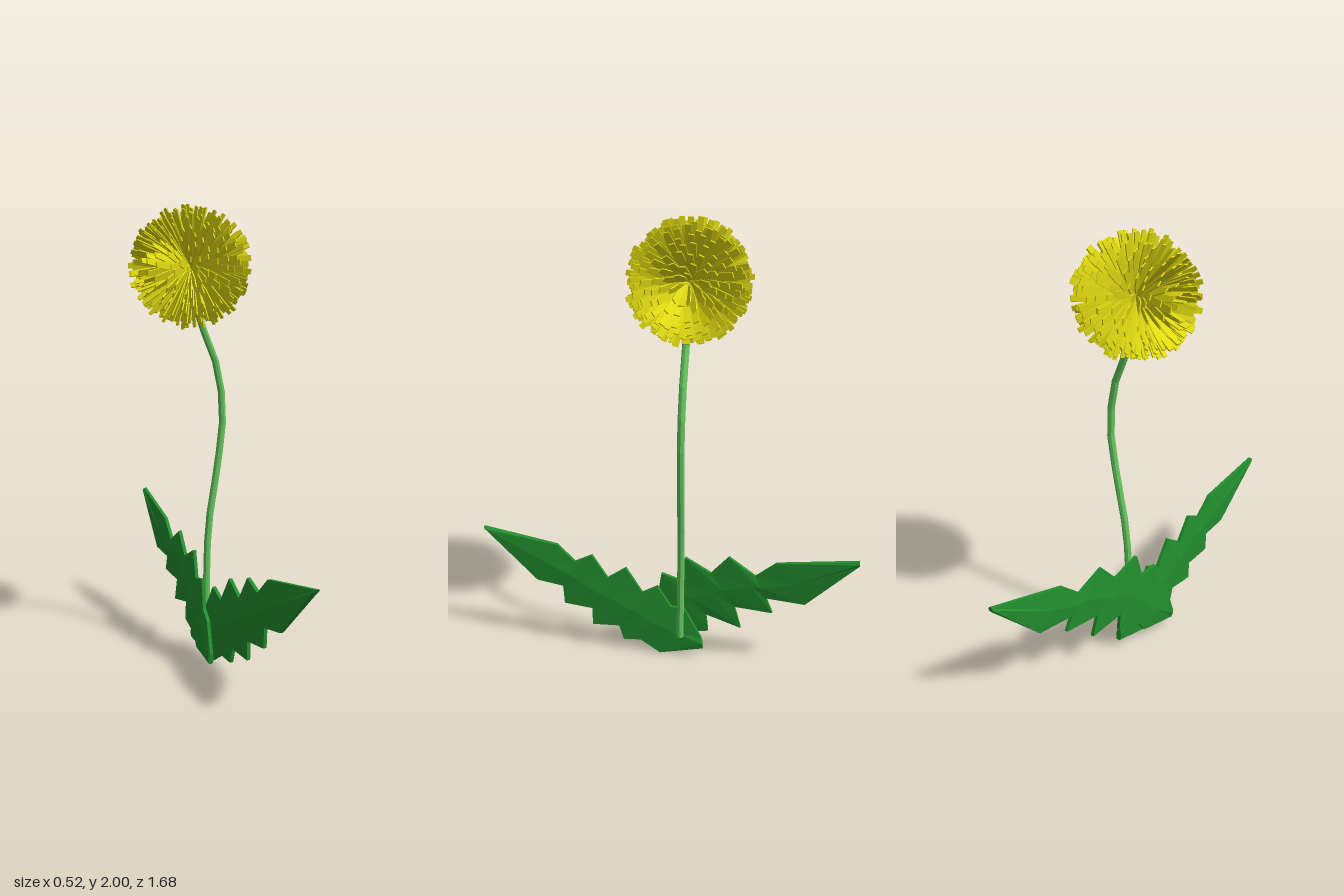
import * as THREE from 'three';
import { mergeGeometries } from 'three/addons/utils/BufferGeometryUtils.js';

const V = (x, y, z) => new THREE.Vector3(x, y, z);
const material = (color) => new THREE.MeshStandardMaterial({ color, flatShading: true, side: THREE.DoubleSide });

// small seeded generator, returns -1..1
function makeRandom(seed) {
  return () => {
    seed = (seed * 16807) % 2147483647;
    return (seed / 2147483647) * 2 - 1;
  };
}

function mesh(name, geometry, mat) {
  const m = new THREE.Mesh(geometry, mat);
  m.name = name;
  return m;
}

// Toothed leaf: each station is [top z, top y, bottom z, bottom y]; xAt places the blade sideways
function leafGeometry(stations, xAt) {
  const positions = [], index = [];
  const edge = 0.008, rib = 0.015;
  for (const [tz, ty, bz, by] of stations) {
    const mz = (tz + bz) / 2, my = (ty + by) / 2;
    const ring = [
      [tz, ty, edge], [mz, my, rib], [bz, by, edge],
      [bz, by, -edge], [mz, my, -rib], [tz, ty, -edge],
    ];
    for (const [z, y, side] of ring) positions.push(xAt(z) + side, y, z);
  }
  const n = 6, last = (stations.length - 1) * n;
  for (let i = 0; i < stations.length - 1; i++) {
    for (let j = 0; j < n; j++) {
      const a = i * n + j, b = i * n + (j + 1) % n;
      index.push(a, a + n, b, b, a + n, b + n);
    }
  }
  for (let j = 1; j < n - 1; j++) index.push(0, j, j + 1, last, last + j + 1, last + j);
  // wind faces outward whichever way the leaf points
  if (stations[0][0] < 0) {
    for (let i = 0; i < index.length; i += 3) [index[i + 1], index[i + 2]] = [index[i + 2], index[i + 1]];
  }
  const g = new THREE.BufferGeometry();
  g.setAttribute('position', new THREE.Float32BufferAttribute(positions, 3));
  g.setIndex(index);
  const flat = g.toNonIndexed();
  flat.computeVertexNormals();
  return flat;
}

// Flat petal along +y, narrow at its root and slightly tapered at its tip
function petalGeometry(length, width) {
  const g = new THREE.BoxGeometry(width, length, 0.005, 1, 3, 1);
  g.translate(0, length / 2, 0);
  const p = g.attributes.position;
  for (let i = 0; i < p.count; i++) {
    const t = p.getY(i) / length;
    const w = t < 0.1 ? 0.25 : t < 0.5 ? 0.6 : t < 0.9 ? 1 : 0.65;
    p.setX(i, p.getX(i) * w);
  }
  return g;
}

// Ball of petals in rings around the x axis, each blade lying across that axis
function flowerGeometry() {
  const random = makeRandom(37);
  const parts = [], rings = 17;
  for (let r = 0; r < rings; r++) {
    const polar = THREE.MathUtils.degToRad(10 + (160 * r) / (rings - 1));
    const count = Math.max(5, Math.round(34 * Math.sin(polar)));
    for (let k = 0; k < count; k++) {
      const a = ((k + 0.5 * (r % 2)) / count) * Math.PI * 2 + random() * 0.06;
      const q = polar + random() * 0.06;
      const d = V(Math.cos(q), Math.sin(q) * Math.cos(a), Math.sin(q) * Math.sin(a));
      const across = V(0, -Math.sin(a), Math.cos(a));
      const normal = across.clone().cross(d);
      const g = petalGeometry(0.253 + random() * 0.013, 0.035);
      g.applyMatrix4(new THREE.Matrix4().makeBasis(across, d, normal));
      parts.push(g);
    }
  }
  return mergeGeometries(parts);
}

export function createModel() {
  const model = new THREE.Group();
  const leafGreen = material(0x22902e), stemGreen = material(0x66c860), yellow = material(0xe0da12);

  // curved stem with a closed foot
  const path = new THREE.CatmullRomCurve3([
    V(0.068, 0.105, -0.065), V(0.07, 0.35, -0.067), V(0.082, 0.6, -0.07), V(0.125, 0.85, -0.073),
    V(0.155, 1.07, -0.076), V(0.14, 1.25, -0.078), V(0.095, 1.4, -0.08), V(0.035, 1.52, -0.082),
    V(0.0, 1.72, -0.085),
  ]);
  const stem = new THREE.Group();
  stem.name = 'stem';
  stem.add(mesh('stalk', new THREE.TubeGeometry(path, 12, 0.016, 8), stemGreen));
  const foot = mesh('stalkFoot', new THREE.CircleGeometry(0.016, 8), stemGreen);
  foot.rotation.x = Math.PI / 2;
  foot.position.copy(path.getPoint(0));
  stem.add(foot);
  model.add(stem);

  // flower head
  const flower = mesh('flowerHead', flowerGeometry(), yellow);
  flower.position.set(0, 1.735, -0.085);
  model.add(flower);

  // front leaf, tip to base
  model.add(mesh('frontLeaf', leafGeometry([
    [0.84, 0.582, 0.83, 0.565],
    [0.5, 0.52, 0.6, 0.33], [0.42, 0.44, 0.48, 0.31],
    [0.34, 0.48, 0.475, 0.22], [0.27, 0.37, 0.345, 0.205],
    [0.185, 0.43, 0.345, 0.12], [0.11, 0.31, 0.22, 0.125],
    [0.04, 0.35, 0.2, 0.055], [-0.02, 0.25, 0.12, 0.06],
    [-0.08, 0.25, 0.03, 0.0], [-0.16, 0.1, -0.17, 0.045],
  ], (z) => 0.05 - 0.022 * z), leafGreen));

  // back leaf, tip to base
  model.add(mesh('backLeaf', leafGeometry([
    [-0.84, 0.6, -0.84, 0.58],
    [-0.49, 0.53, -0.62, 0.35], [-0.4, 0.45, -0.45, 0.35],
    [-0.28, 0.525, -0.48, 0.28], [-0.2, 0.43, -0.31, 0.28],
    [-0.08, 0.49, -0.34, 0.175], [-0.05, 0.37, -0.18, 0.215],
    [0.03, 0.39, -0.19, 0.13], [0.05, 0.26, -0.07, 0.1],
    [0.1, 0.22, -0.04, 0.05], [0.14, 0.08, 0.13, 0.035],
  ], (z) => 0.003 - 0.163 * z), leafGreen));

  return model;
}
